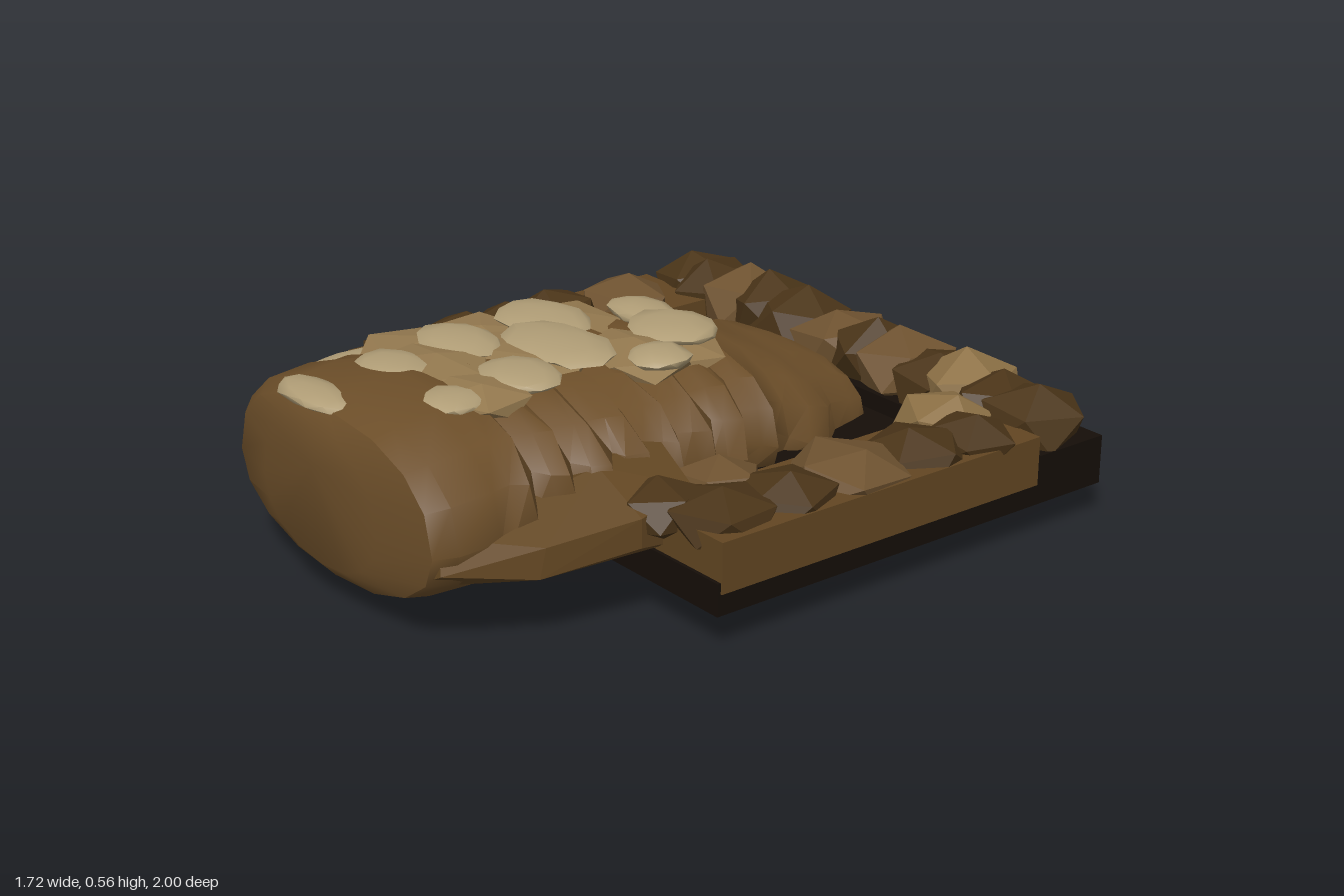
import * as THREE from 'three';
import { toCreasedNormals } from 'three/addons/utils/BufferGeometryUtils.js';
import { ConvexGeometry } from 'three/addons/geometries/ConvexGeometry.js';

const mat = (color, flatShading = true) => new THREE.MeshStandardMaterial({ color, flatShading });
const baseMat = mat(0x150e08);
const mudMat = mat(0x6c4e29, false);
const wallMat = mat(0x624622);
const stoneMats = [0x4a3418, 0x6e5230, 0x8c7045].map((c) => mat(c));
const paleMat = mat(0xb09d76, false);
const patchMat = mat(0x94794f);

// Repeatable noise in -1..1 from a position
const noise = (x, y, z) => {
  const s = Math.sin(x * 12.99 + y * 78.23 + z * 37.72) * 43758.5453;
  return (s - Math.floor(s)) * 2 - 1;
};

function add(parent, name, geometry, material, x = 0, y = 0, z = 0) {
  const mesh = new THREE.Mesh(geometry, material);
  mesh.name = name;
  mesh.position.set(x, y, z);
  parent.add(mesh);
  return mesh;
}

const box = (parent, name, material, x0, x1, y0, y1, z0, z1) =>
  add(parent, name, new THREE.BoxGeometry(x1 - x0, y1 - y0, z1 - z0), material,
    (x0 + x1) / 2, (y0 + y1) / 2, (z0 + z1) / 2);

// Icosahedron with unevenly pushed corners, one corner roughly on top, then flattened
function rock(rx, ry, rz, seed, detail = 0, rough = 0.08) {
  const g = new THREE.IcosahedronGeometry(1, detail);
  const p = g.attributes.position;
  const v = new THREE.Vector3();
  const key = (n) => Math.round(n * 100) / 100 + seed;
  for (let i = 0; i < p.count; i++) {
    v.fromBufferAttribute(p, i);
    v.multiplyScalar(1 + rough * noise(key(v.x), key(v.y), key(v.z)));
    p.setXYZ(i, v.x, v.y, v.z);
  }
  return g.rotateX(-1.017 + 0.25 * noise(seed, 1, 2)).rotateZ(0.25 * noise(seed, 3, 4))
    .rotateY(seed * 1.7).scale(rx, ry, rz);
}

// Mud tongue lofted through cross-sections: z, left x, right x, top, bottom
function tongueGeometry() {
  const rows = [
    [-0.68, -0.3, 0.2, 0.27, 0.1], [-0.66, -0.38, 0.24, 0.32, 0.05],
    [-0.6, -0.46, 0.26, 0.355, 0.005], [-0.53, -0.48, 0.27, 0.37, 0.02], [-0.45, -0.46, 0.33, 0.39, 0.03],
    [-0.37, -0.48, 0.34, 0.43, 0.03], [-0.31, -0.47, 0.31, 0.45, 0.05],
  ];
  // Overlapping layers: each steps out sharply, then tapers forward
  for (let k = 0; k < 8; k++) {
    const z = -0.24 + k * 0.125, t = k / 7;
    const l = -0.46 - 0.05 * t, r = 0.39 + 0.11 * Math.min(1, t * 1.5), top = 0.485 + 0.075 * t;
    rows.push([z, l + 0.05, r - 0.06, top - 0.02, 0.11], [z + 0.03, l, r, top, 0.068],
      [z + 0.08, l + 0.015, r - 0.02, top, 0.08]);
  }
  rows.push([0.78, -0.52, 0.49, 0.565, 0.055], [0.9, -0.51, 0.49, 0.55, 0.065],
    [0.96, -0.44, 0.46, 0.53, 0.075], [0.992, -0.27, 0.26, 0.48, 0.11]);
  const n = 16, pos = [], idx = [];
  rows.forEach(([z, xl, xr, top, bot], j) => {
    const cx = (xl + xr) / 2, hw = (xr - xl) / 2;
    const mid = bot + (top - bot) * 0.45;
    for (let i = 0; i < n; i++) {
      const a = (i / n) * Math.PI * 2, c = Math.cos(a), s = Math.sin(a);
      const e = s > 0 ? 0.85 : 0.95;
      const w = j > 1 && j < rows.length - 3 ? 0.015 * noise(i, j, 1) : 0;
      pos.push(cx + hw * Math.sign(c) * Math.abs(c) ** e * (1 + w),
        mid + (s > 0 ? top - mid : mid - bot) * Math.sign(s) * Math.abs(s) ** e, z + w);
    }
  });
  for (let j = 0; j < rows.length - 1; j++) {
    for (let i = 0; i < n; i++) {
      const a = j * n + i, b = j * n + ((i + 1) % n);
      idx.push(a, b, a + n, b, b + n, a + n);
    }
  }
  // End caps
  const last = (rows.length - 1) * n;
  pos.push(-0.07, 0.18, -0.69, -0.02, 0.38, 1);
  for (let i = 0; i < n; i++) {
    const k = (i + 1) % n;
    idx.push(last + n, k, i, last + n + 1, last + i, last + k);
  }
  const g = new THREE.BufferGeometry();
  g.setAttribute('position', new THREE.Float32BufferAttribute(pos, 3));
  g.setIndex(idx);
  return toCreasedNormals(g, 0.7);
}

export function createModel() {
  const model = new THREE.Group();

  // Base slab, raised back strip, side banks
  const base = new THREE.Group();
  base.name = 'base';
  model.add(base);
  box(base, 'slab', baseMat, -0.84, 0.84, 0.1, 0.19, -0.98, 0.38);
  box(base, 'backStrip', baseMat, -0.84, 0.84, 0.18, 0.24, -0.98, -0.7);
  for (const s of [-1, 1]) {
    const bank = box(base, 'sideBank', wallMat, 0.55, 0.845, 0.16, 0.3, -0.73, 0.37);
    bank.position.x *= s;
    box(base, 'undersideStrip', wallMat, s * 0.73 - 0.01, s * 0.73 + 0.01, 0.097, 0.12, -0.88, 0.3);
  }
  for (const z of [-0.88, 0.3]) {
    box(base, 'undersideStrip', wallMat, -0.74, 0.74, 0.097, 0.12, z - 0.01, z + 0.01);
  }

  // Border stones: x, z, radius, tone
  const stones = new THREE.Group();
  stones.name = 'borderStones';
  model.add(stones);
  [
    [-0.72, -0.84, 0.15, 0], [-0.49, -0.84, 0.17, 1], [-0.25, -0.84, 0.16, 0], [-0.05, -0.84, 0.16, 1],
    [0.2, -0.84, 0.17, 1], [0.46, -0.85, 0.16, 2], [0.71, -0.84, 0.15, 0], [-0.62, -0.83, 0.14, 0],
    [0.08, -0.84, 0.14, 0], [0.34, -0.84, 0.14, 0], [0.6, -0.83, 0.14, 0], [-0.37, -0.85, 0.14, 0],
    [-0.7, -0.53, 0.15, 1], [-0.72, -0.29, 0.13, 0], [-0.6, -0.03, 0.17, 2], [-0.73, 0.04, 0.13, 0],
    [-0.7, 0.26, 0.16, 0], [-0.59, 0.32, 0.13, 0], [-0.72, -0.13, 0.14, 0], [0.59, -0.62, 0.14, 2],
    [0.71, -0.4, 0.15, 0], [0.7, -0.17, 0.17, 1], [0.72, 0.06, 0.14, 0], [0.56, 0.14, 0.13, 1],
    [0.7, 0.25, 0.16, 0], [0.57, 0.34, 0.13, 0], [0.73, -0.58, 0.13, 0],
  ].forEach(([x, z, r, tone], i) => {
    const back = z < -0.8;
    add(stones, 'stone', rock(r, back ? 0.1 + 0.01 * (i % 3) : 0.085, back ? 0.16 : r, i + 1),
      stoneMats[tone], x, back ? 0.285 : 0.29, z);
  });

  // Mud tongue and the ledge along its left flank
  add(model, 'mudTongue', tongueGeometry(), mudMat);
  const ledge = [
    [0.3, 0.14, 0.93], [0.48, 0.24, 0.95], [0.4, 0.3, 0.9], [0.57, 0.2, 0.72], [0.57, 0.28, 0.7],
    [0.63, 0.23, 0.45], [0.63, 0.31, 0.45], [0.45, 0.39, 0.45], [0.3, 0.1, 0.4], [0.6, 0.2, 0.3],
    [0.58, 0.33, 0.25], [0.35, 0.4, 0.2], [0.3, 0.1, 0.7],
  ].map((p) => new THREE.Vector3(...p));
  add(model, 'flankLedge', new ConvexGeometry(ledge), wallMat);

  // Crust patches between the pale stones: x, y, z, radius
  [
    [-0.25, 0.47, 0.02, 0.18], [0.08, 0.485, 0.05, 0.2], [-0.05, 0.505, 0.36, 0.26], [-0.28, 0.49, 0.5, 0.19],
    [-0.06, 0.525, 0.6, 0.2], [0.14, 0.52, 0.6, 0.16], [-0.31, 0.475, 0.28, 0.17], [0.08, 0.465, -0.1, 0.16],
  ].forEach(([x, y, z, r], i) =>
    add(model, 'crustPatch', rock(r, 0.04, r * 0.9, 40 + i), patchMat, x, y, z));

  // Flat pale stones: x, y, z, half width, half depth
  [
    [-0.1, 0.53, 0.93, 0.15, 0.07], [-0.12, 0.54, 0.68, 0.13, 0.1], [0.16, 0.535, 0.69, 0.09, 0.1],
    [-0.44, 0.445, 0.6, 0.09, 0.13], [-0.18, 0.535, 0.43, 0.15, 0.1], [0.12, 0.535, 0.45, 0.13, 0.11],
    [-0.43, 0.44, 0.32, 0.1, 0.12], [-0.02, 0.53, 0.23, 0.19, 0.13], [-0.26, 0.505, 0.1, 0.16, 0.12],
    [0.03, 0.51, -0.13, 0.14, 0.12], [-0.15, 0.495, -0.17, 0.13, 0.08], [0.18, 0.51, 0.04, 0.09, 0.09],
  ].forEach(([x, y, z, rx, rz], i) => {
    const g = toCreasedNormals(rock(rx, 0.026, rz, 20 + i, 1, 0.07), 1);
    add(model, 'paleStone', g, paleMat, x, y, z).rotation.z = x < -0.35 ? 0.25 : 0;
  });

  return model;
}
